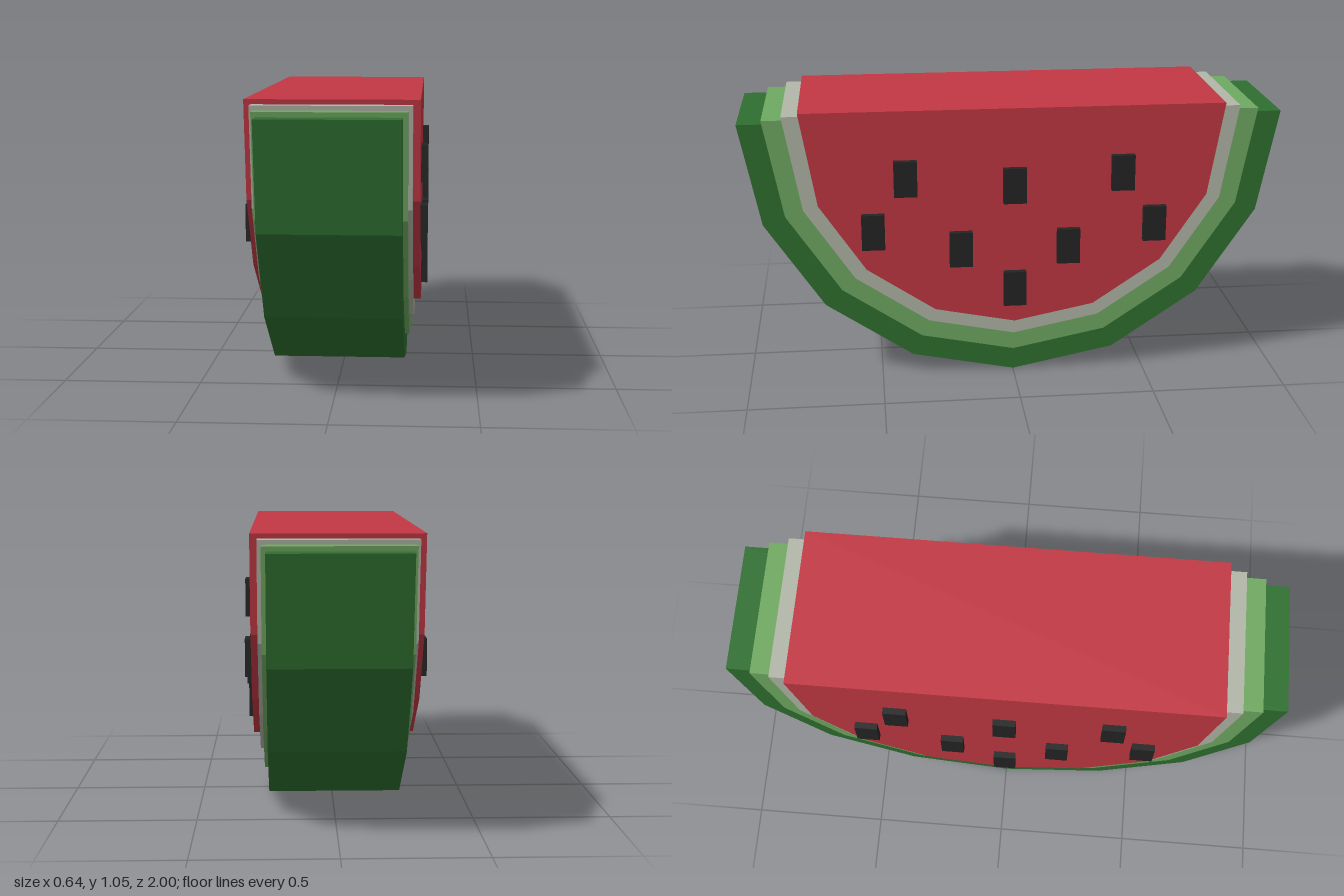
import * as THREE from 'three';

const material = (name, color) => {
  const m = new THREE.MeshStandardMaterial({ color });
  m.name = name;
  return m;
};

// Half of a sixteen-sided disc, extruded across x, with its cut edge raised to topY.
function wedge(name, radius, topY, halfWidth, mat) {
  const shape = new THREE.Shape();
  const steps = 8;
  for (let i = 0; i <= steps; i++) {
    const a = Math.PI + (i / steps) * Math.PI;
    const x = radius * Math.cos(a);
    const y = i === 0 || i === steps ? topY : 1 + radius * Math.sin(a);
    if (i === 0) shape.moveTo(x, y);
    else shape.lineTo(x, y);
  }
  shape.closePath();
  const geometry = new THREE.ExtrudeGeometry(shape, { depth: halfWidth * 2, bevelEnabled: false });
  geometry.translate(0, 0, -halfWidth);
  geometry.rotateY(Math.PI / 2);
  const mesh = new THREE.Mesh(geometry, mat);
  mesh.name = name;
  return mesh;
}

export function createModel() {
  const model = new THREE.Group();
  model.name = 'watermelonSlice';

  // Nested layers, each narrower in radius but thicker and taller than the last
  model.add(
    wedge('outerRind', 1, 1, 0.24, material('dark green', 0x2f7030)),
    wedge('innerRind', 0.91, 1.017, 0.256, material('light green', 0x70a962)),
    wedge('paleRind', 0.838, 1.033, 0.271, material('pale rind', 0xb2b7a8)),
    wedge('flesh', 0.778, 1.05, 0.296, material('red flesh', 0xc23843)),
  );

  // Seeds as [z, y], standing out from both faces
  const seedMaterial = material('seed black', 0x242424);
  const seedGeometry = new THREE.BoxGeometry(0.05, 0.134, 0.085);
  const spots = [[0.4, 0.8], [-0.4, 0.8], [0, 0.762], [0.522, 0.6], [-0.522, 0.6],
    [0.2, 0.522], [-0.2, 0.522], [0, 0.36]];
  for (const side of [-1, 1]) {
    for (const [z, y] of spots) {
      const seed = new THREE.Mesh(seedGeometry, seedMaterial);
      seed.name = side > 0 ? 'leftSeed' : 'rightSeed';
      seed.position.set(side * 0.295, y, z);
      model.add(seed);
    }
  }
  return model;
}
